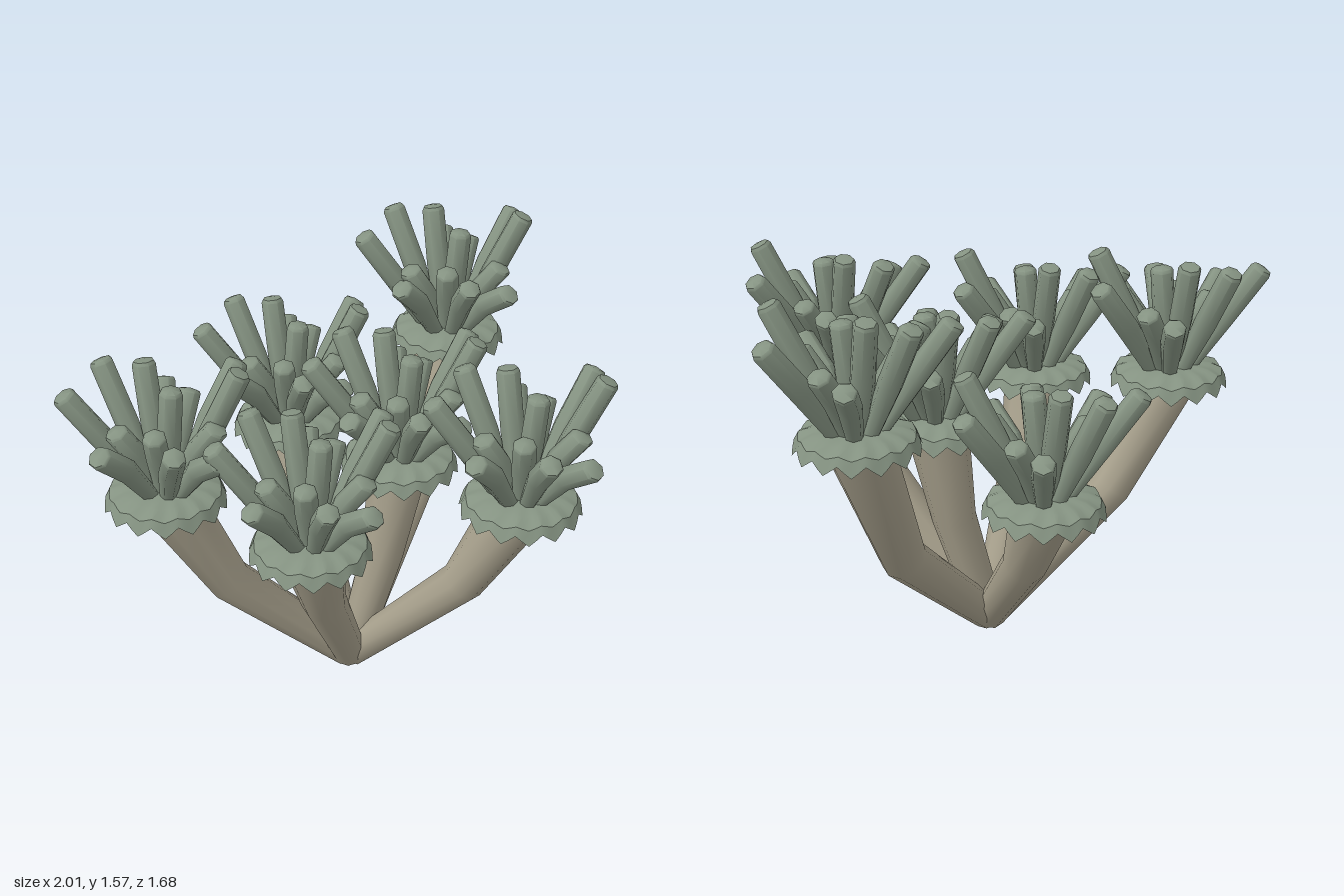
import * as THREE from 'three';
import { toCreasedNormals } from 'three/addons/utils/BufferGeometryUtils.js';

const stemMat = new THREE.MeshStandardMaterial({ color: 0xa8a18d });
const greenMat = new THREE.MeshStandardMaterial({ color: 0x859382 });
const frillMat = new THREE.MeshStandardMaterial({ color: 0x859382, side: THREE.DoubleSide });
const UP = new THREE.Vector3(0, 1, 0);

// Head positions: x, y of the collar, z, knee height
const polyps = [
  [-0.68, 0.97, -0.10, 0.52],
  [-0.33, 0.88, 0.31, 0.52],
  [0.04, 0.79, -0.55, 0.46],
  [0.20, 0.89, 0.01, 0.48],
  [0.39, 0.95, 0.52, 0.52],
  [0.65, 1.09, -0.40, 0.52],
];

// Tentacle tips relative to the head centre
const tips = [
  [-0.11, 0.44, -0.23], [0.13, 0.28, -0.26], [0.33, 0.39, -0.07], [0.25, 0.46, 0.11],
  [0.085, 0.26, 0.29], [-0.07, 0.31, 0.26], [-0.28, 0.3, 0.12], [-0.29, 0.4, -0.14],
  // inner cluster
  [0.04, 0.4, 0.01], [0.01, 0.45, -0.14], [-0.16, 0.28, -0.02], [0.17, 0.29, -0.13],
  [0.15, 0.28, 0.13], [-0.07, 0.3, 0.1],
];

// Bent stem: a cylinder whose three rings are moved onto base, knee and top
function makeStem(top, kneeY) {
  const knee = new THREE.Vector3(top.x * 0.69, kneeY, top.z * 0.69);
  const flat = new THREE.Vector3(top.x, 0, top.z).normalize();
  const base = flat.clone().multiplyScalar(0.01).setY(0.045);
  const pts = [base, knee, top];
  const radii = [0.064, 0.082, 0.115];
  const d0 = knee.clone().sub(base).normalize();
  const d1 = top.clone().sub(knee).normalize();
  const dirs = [d0, d0.clone().add(d1).normalize(), d1];
  const turns = dirs.map(d => new THREE.Quaternion().setFromUnitVectors(UP, d));
  const geo = new THREE.CylinderGeometry(1, 1, 2, 10, 2);
  const p = geo.attributes.position;
  const v = new THREE.Vector3();
  for (let i = 0; i < p.count; i++) {
    v.fromBufferAttribute(p, i);
    const k = Math.round(v.y) + 1;
    v.setY(0).multiplyScalar(radii[k]).applyQuaternion(turns[k]).add(pts[k]);
    p.setXYZ(i, v.x, v.y, v.z);
  }
  const mesh = new THREE.Mesh(toCreasedNormals(geo, 0.75), stemMat);
  mesh.name = 'stem';
  return mesh;
}

// Tentacle: slender club with a nearly flat tip; low ones arch over more
function makeTentacle(tip) {
  const end = new THREE.Vector3(...tip);
  const start = new THREE.Vector3(tip[0], 0, tip[2]).multiplyScalar(0.2);
  const dir = end.clone().sub(start);
  const len = dir.length();
  const turn = new THREE.Quaternion().setFromUnitVectors(UP, dir.normalize());
  const arch = (0.46 - tip[1]) * 0.2;
  const profile = [[0.028, 0], [0.043, len * 0.5], [0.042, len - 0.012], [0.036, len], [0, len + 0.006]]
    .map(([r, y]) => new THREE.Vector2(r, y));
  const geo = new THREE.LatheGeometry(profile, 7);
  const p = geo.attributes.position;
  const v = new THREE.Vector3();
  for (let i = 0; i < p.count; i++) {
    v.fromBufferAttribute(p, i);
    const lift = arch * Math.sin(Math.PI * Math.min(v.y / len, 1));
    v.applyQuaternion(turn).add(start);
    p.setXYZ(i, v.x, v.y + lift, v.z);
  }
  const mesh = new THREE.Mesh(toCreasedNormals(geo, 0.95), greenMat);
  mesh.name = 'tentacle';
  return mesh;
}

// Frill: drooping ring of pointed folds, open at the bottom
function makeFrill() {
  const folds = 14, segs = folds * 4;
  const profile = [[0, 0.03], [0.1, 0.03], [0.15, 0.025], [0.195, 0.005], [0.213, -0.035]];
  const geo = new THREE.LatheGeometry(profile.map(([r, y]) => new THREE.Vector2(r, y)), segs);
  const p = geo.attributes.position;
  const rows = profile.length;
  for (let i = 0; i < p.count; i++) {
    const row = i % rows, s = Math.floor(i / rows);
    const wave = [1, 0, -1, 0][s % 4];
    const amount = [0, 0, 0.003, 0.007, 0.018][row];
    const scale = 1 + wave * amount;
    p.setXYZ(i, p.getX(i) * scale, p.getY(i) - wave * amount, p.getZ(i) * scale);
  }
  const mesh = new THREE.Mesh(toCreasedNormals(geo, 0.5), frillMat);
  mesh.name = 'frill';
  return mesh;
}

export function createModel() {
  const model = new THREE.Group();
  model.name = 'coral';
  for (const [x, y, z, kneeY] of polyps) {
    const polyp = new THREE.Group();
    polyp.name = 'polyp';
    polyp.add(makeStem(new THREE.Vector3(x, y - 0.025, z), kneeY));

    const head = new THREE.Group();
    head.name = 'head';
    head.position.set(x, y, z);
    head.add(makeFrill(), ...tips.map(makeTentacle));
    polyp.add(head);
    model.add(polyp);
  }
  return model;
}
